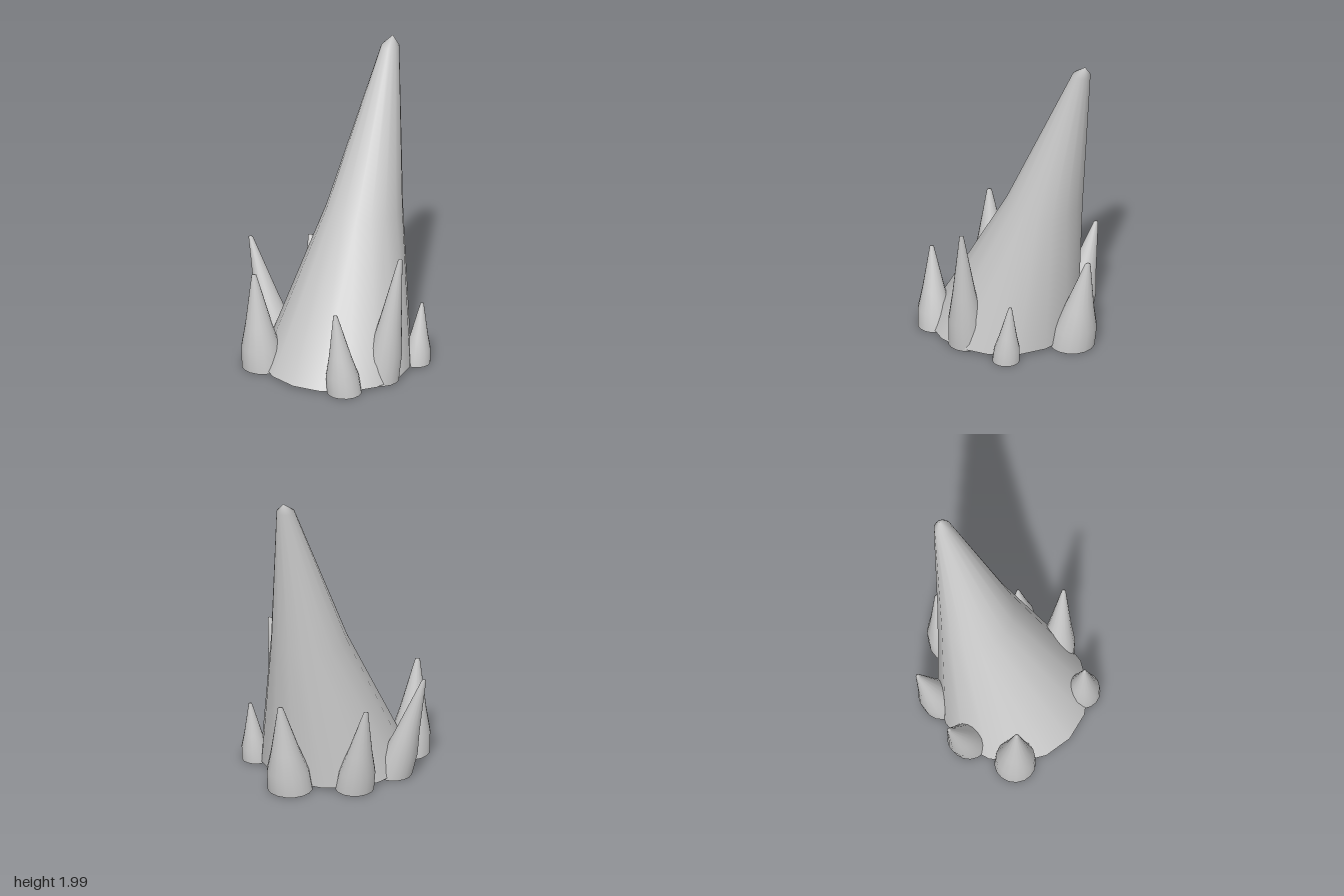
import * as THREE from 'three';
import { mergeVertices } from 'three/addons/utils/BufferGeometryUtils.js';

const SIDES = 16;
const material = new THREE.MeshStandardMaterial({ color: 0xcccccc, side: THREE.DoubleSide });

// Open-bottomed leaning cone; each ring is [y, radius, centreX, centreZ].
function leaningCone(name, rings) {
  const profile = rings.map(([y, r]) => new THREE.Vector2(r, y));
  let geometry = new THREE.LatheGeometry(profile, SIDES);
  const pos = geometry.attributes.position;
  // Lathe vertices run ring by ring within every segment
  for (let i = 0; i < pos.count; i++) {
    const [, , cx, cz] = rings[i % rings.length];
    pos.setX(i, pos.getX(i) + cx);
    pos.setZ(i, pos.getZ(i) + cz);
  }
  geometry.deleteAttribute('uv');
  geometry.deleteAttribute('normal');
  geometry = mergeVertices(geometry, 1e-5);
  geometry.computeVertexNormals();
  const mesh = new THREE.Mesh(geometry, material);
  mesh.name = name;
  return mesh;
}

// Small spike: slightly swollen profile from base centre to tip.
function spike(name, [bx, bz], radius, [tx, ty, tz]) {
  const y0 = 0.008;
  const profile = [[0, 1], [0.22, 0.94], [0.46, 0.65], [0.99, 0.12], [1, 0]];
  return leaningCone(name, profile.map(([t, r]) => [
    y0 + (ty - y0) * t,
    radius * r,
    bx + (tx - bx) * t,
    bz + (tz - bz) * t,
  ]));
}

export function createModel() {
  const group = new THREE.Group();
  group.name = 'spikeCluster';

  // Tall central spike leaning backwards
  group.add(leaningCone('mainSpike', [
    [0.022, 0.462, 0.075, 0.09],
    [0.95, 0.238, 0.072, -0.207],
    [1.94, 0.056, 0.07, -0.479],
    [2, 0, 0.07, -0.505],
  ]));

  // Ring of small spikes around the foot: name, base centre, radius, tip
  const spikes = [
    ['frontRightSpike', [-0.262, 0.402], 0.128, [-0.296, 0.637, 0.445]],
    ['frontLeftSpike', [0.36, 0.408], 0.108, [0.325, 0.536, 0.455]],
    ['leftSpike', [0.435, 0.127], 0.112, [0.552, 0.84, 0.085]],
    ['backLeftSpike', [0.475, -0.192], 0.085, [0.488, 0.4, -0.232]],
    ['backSpike', [0.078, -0.415], 0.14, [0.075, 0.61, -0.53]],
    ['backRightSpike', [-0.255, -0.2], 0.12, [-0.39, 0.6, -0.28]],
    ['rightSpike', [-0.345, 0.1], 0.114, [-0.556, 0.7, 0.12]],
  ];
  for (const s of spikes) group.add(spike(...s));

  return group;
}
